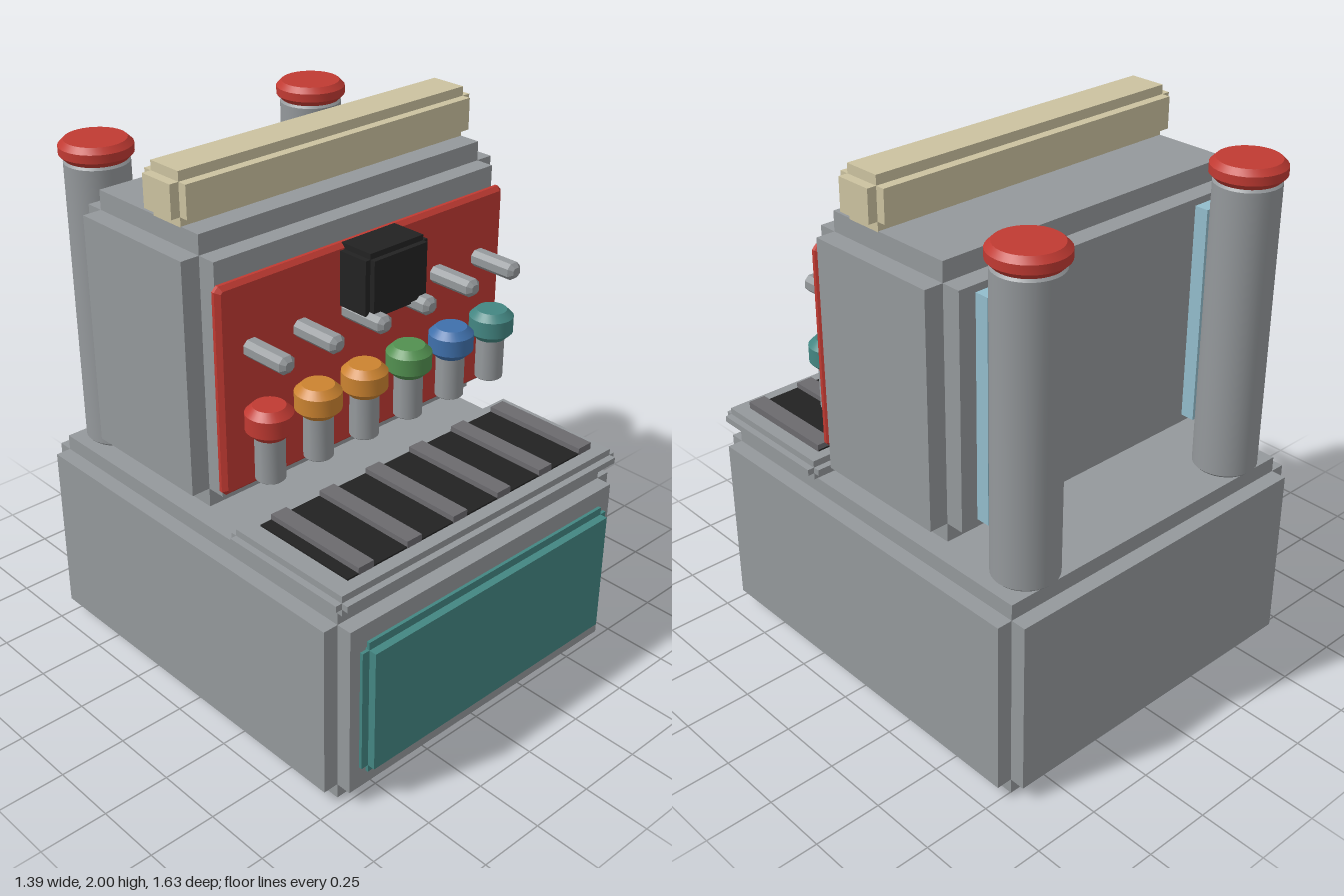
import * as THREE from 'three';
import { toCreasedNormals } from 'three/addons/utils/BufferGeometryUtils.js';

const paint = (name, color) => Object.assign(new THREE.MeshStandardMaterial({ color }), { name });

export function createModel() {
  const model = new THREE.Group();
  model.name = 'drinkDispenser';

  const grey = paint('grey', 0x94989b);
  const darkGrey = paint('darkGrey', 0x6b6a6e);
  const black = paint('black', 0x222222);
  const red = paint('red', 0xc03a32);
  const orange = paint('orange', 0xcb8330);
  const green = paint('green', 0x529050);
  const blue = paint('blue', 0x3f70ab);
  const teal = paint('teal', 0x438682);
  const cream = paint('cream', 0xcbc2a0);
  const paleBlue = paint('paleBlue', 0x92bccb);

  function add(parent, name, geometry, material, x, y, z) {
    const mesh = new THREE.Mesh(geometry, material);
    mesh.name = name;
    mesh.position.set(x, y, z);
    parent.add(mesh);
    return mesh;
  }

  // Box with stepped edges: three crossing boxes, each full size along one axis
  function steppedBox(name, material, size, centre, inset) {
    const group = new THREE.Group();
    group.name = name;
    for (let axis = 0; axis < 3; axis++) {
      const s = size.map((v, i) => (i === axis ? v : v - 2 * inset));
      add(group, name + 'Core' + 'XYZ'[axis], new THREE.BoxGeometry(...s), material, 0, 0, 0);
    }
    group.position.set(...centre);
    model.add(group);
  }

  // Box with chamfered edges, centred on its origin
  function chamferBox(w, h, d, c) {
    const x = w / 2 - c, y = h / 2 - c, k = c * 0.5;
    const shape = new THREE.Shape([
      [-x + k, -y], [x - k, -y], [x, -y + k], [x, y - k],
      [x - k, y], [-x + k, y], [-x, y - k], [-x, -y + k],
    ].map((p) => new THREE.Vector2(...p)));
    const geometry = new THREE.ExtrudeGeometry(shape, {
      depth: d - 2 * c, bevelEnabled: true, bevelThickness: c, bevelSize: c, bevelSegments: 1,
    });
    return geometry.translate(0, 0, -(d / 2 - c));
  }

  // Upright cylinder with chamfered rims, standing on its origin
  function chamferCylinder(r, h, c) {
    const profile = [[0, 0], [r - c, 0], [r, c], [r, h - c], [r - c, h], [0, h]];
    const lathe = new THREE.LatheGeometry(profile.map((p) => new THREE.Vector2(...p)), 32);
    return toCreasedNormals(lathe, 0.5);
  }

  // Main bodies
  steppedBox('baseCabinet', grey, [1.395, 0.77, 1.58], [0, 0.385, -0.02], 0.058);
  steppedBox('upperCabinet', grey, [1.395, 0.977, 0.655], [0, 1.3315, -0.183], 0.07);
  steppedBox('topSign', cream, [1.325, 0.183, 0.206], [0, 1.9085, -0.078], 0.034);
  steppedBox('lowerFrontPanel', teal, [1.205, 0.528, 0.07], [0, 0.386, 0.782], 0.029);
  steppedBox('displayBox', black, [0.28, 0.235, 0.175], [0, 1.5625, 0.2375], 0.02);
  add(model, 'tapPanel', chamferBox(1.3, 0.745, 0.042, 0.015), red, 0, 1.3075, 0.164);

  // Drip tray with grille
  steppedBox('dripTray', grey, [1.355, 0.073, 0.556], [0, 0.8065, 0.492], 0.025);
  add(model, 'trayWell', new THREE.BoxGeometry(1.18, 0.008, 0.416), black, 0.008, 0.845, 0.488);
  for (let i = 0; i < 6; i++) {
    add(model, 'grilleBar', new THREE.BoxGeometry(0.066, 0.026, 0.417), darkGrey, -0.503 + 0.2142 * i, 0.856, 0.4885);
  }

  // Row of taps: lever, knob and stem
  const leverGeometry = chamferBox(0.064, 0.06, 0.2, 0.015);
  const knobGeometry = chamferCylinder(0.08, 0.11, 0.025);
  const stemGeometry = chamferCylinder(0.051, 0.17, 0.004);
  [red, orange, orange, green, blue, teal].forEach((colour, i) => {
    const tap = new THREE.Group();
    tap.name = 'tap' + (i + 1);
    tap.position.x = -0.525 + 0.2095 * i;
    add(tap, 'lever', leverGeometry, grey, 0, 1.446, 0.274);
    add(tap, 'knob', knobGeometry, colour, 0, 1.162, 0.27);
    add(tap, 'stem', stemGeometry, grey, 0, 1.003, 0.27);
    model.add(tap);
  });

  // Rear canisters with caps and pale backing strips
  const canisterGeometry = chamferCylinder(0.115, 1.077, 0.012);
  const capGeometry = chamferCylinder(0.129, 0.07, 0.02);
  for (const side of [-1, 1]) {
    add(model, 'canister', canisterGeometry, grey, side * 0.487, 0.768, -0.652);
    add(model, 'canisterCap', capGeometry, red, side * 0.487, 1.842, -0.652);
    add(model, 'backingStrip', new THREE.BoxGeometry(0.158, 0.79, 0.06), paleBlue, side * 0.484, 1.33, -0.532);
  }

  return model;
}
